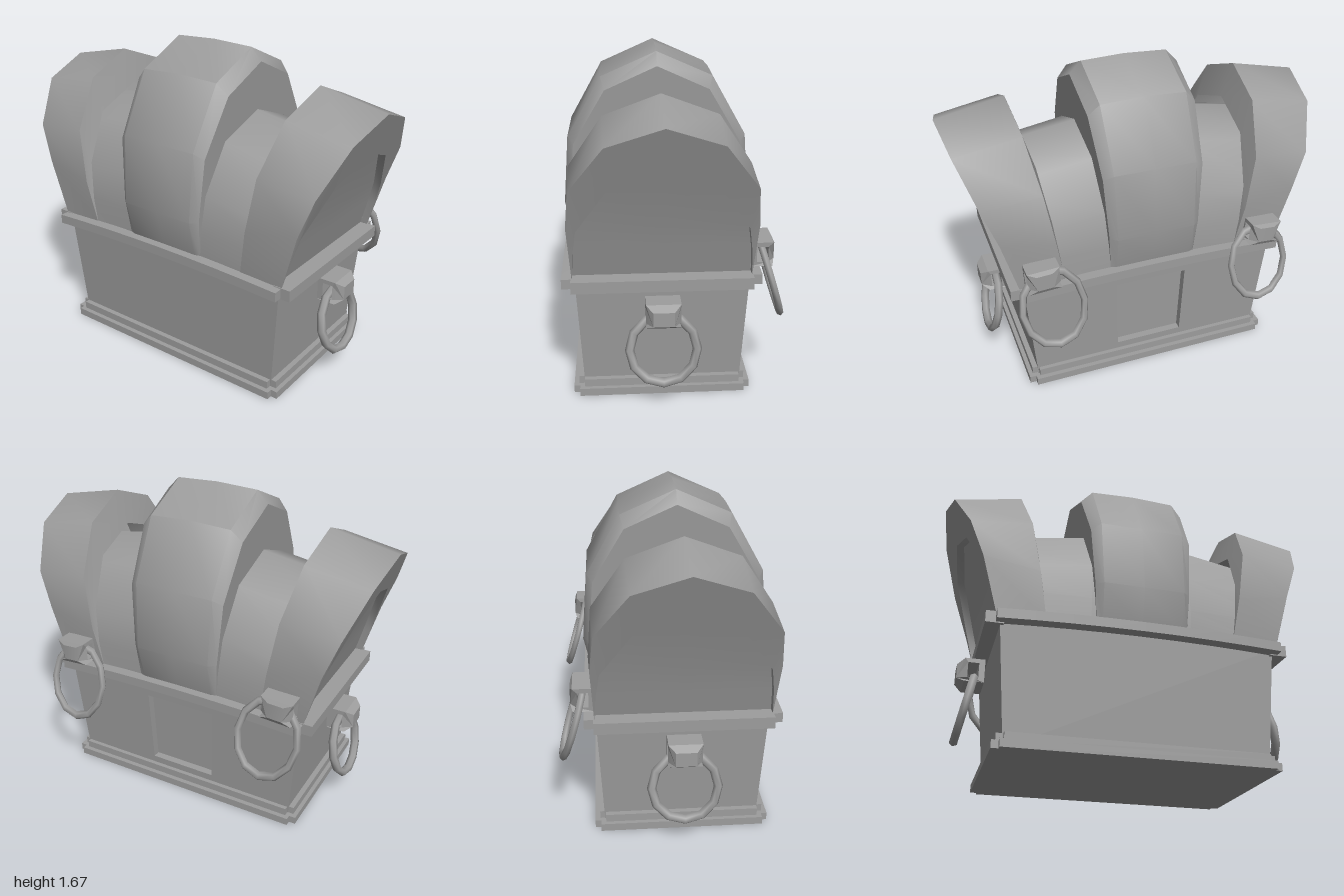
import * as THREE from 'three';
import { toCreasedNormals } from 'three/addons/utils/BufferGeometryUtils.js';

const mat = new THREE.MeshStandardMaterial({ color: 0x9d9d9d, side: THREE.DoubleSide });

function add(parent, name, geo, crease = 0.6) {
  const mesh = new THREE.Mesh(toCreasedNormals(geo, crease), mat);
  mesh.name = name;
  parent.add(mesh);
  return mesh;
}

function box(parent, name, w, h, d, x, y, z) {
  return add(parent, name, new THREE.BoxGeometry(w, h, d).translate(x, y, z));
}

const toPoints = list => list.map(p => new THREE.Vector2(...p));

// Skin mirrored half arches; each station is { arch: [[halfWidth, y], ...], z: y => z }
function loft(stations) {
  const pos = [], index = [];
  for (const { arch, z } of stations) {
    const left = arch.slice(1).map(([u, y]) => [-u, y]);
    const right = arch.slice().reverse();
    for (const [x, y] of [...right, ...left]) pos.push(x, y, z(y));
  }
  const n = stations[0].arch.length * 2 - 1;
  for (let i = 0; i < stations.length - 1; i++) {
    for (let j = 0; j < n - 1; j++) {
      const a = i * n + j, b = a + 1, d = a + n, c = d + 1;
      index.push(a, b, c, a, c, d);
    }
  }
  const geo = new THREE.BufferGeometry();
  geo.setAttribute('position', new THREE.Float32BufferAttribute(pos, 3));
  geo.setIndex(index);
  return geo;
}

// Half arches from crown to foot
const lidMid = [[0, 1.35], [0.27, 1.25], [0.41, 1.0], [0.435, 0.8], [0.43, 0.65]];
const lidEnd = [[0, 1.25], [0.25, 1.16], [0.405, 0.93], [0.425, 0.8], [0.435, 0.65]];
const lidAxis = lidEnd.map(([, y]) => [0, y]);
const midOuter = [[0, 1.665], [0.285, 1.54], [0.46, 1.23], [0.487, 0.87], [0.44, 0.67]];
const midEdge = [[0, 1.6], [0.265, 1.48], [0.43, 1.2], [0.455, 0.87], [0.43, 0.67]];
const endRidge = [[0, 1.535], [0.275, 1.43], [0.44, 1.18], [0.46, 0.9], [0.435, 0.66]];
const endFront = [[0, 1.46], [0.265, 1.37], [0.43, 1.15], [0.45, 0.95], [0.435, 0.66]];

// Slanted faces, z as a function of height
const endPlane = y => 0.735 + Math.max(0.28 * (y - 0.69), 0.372 * (y - 0.95) + 0.073);
const ridgePlane = y => 0.49 + (y - 0.69) * 0.172;

// Bracket with a swinging ring, facing +z; profile lists [reach, halfHeight]
function ringHandle(name, { profile, taper, r, y, z, tilt, shift = 0, stretch = 1, tube }) {
  const g = new THREE.Group();
  g.name = name;
  const lower = profile.map(([a, h]) => [a, -h]);
  const s = new THREE.Shape(toPoints([...lower, ...profile.slice().reverse()]));
  s.holes.push(new THREE.Path(toPoints([[0.03, -0.04], [0.03, 0.04], [0.085, 0.04], [0.085, -0.04]])));
  const geo = new THREE.ExtrudeGeometry(s, { depth: 0.17, bevelEnabled: false });
  geo.translate(0, 0, -0.085).rotateY(-Math.PI / 2);
  const p = geo.attributes.position;
  for (let i = 0; i < p.count; i++) if (p.getZ(i) > 0.112) p.setX(i, p.getX(i) * taper);
  add(g, 'bracket', geo, 0.3);
  const ring = add(g, 'ring', new THREE.TorusGeometry(r, tube, 6, 12), 1.2);
  ring.position.set(shift, y, z);
  ring.rotation.x = tilt;
  ring.scale.y = stretch;
  return g;
}

// Widen from foot to rim: shift vertices outward in proportion to height
function flare(geo) {
  const p = geo.attributes.position;
  for (let i = 0; i < p.count; i++) {
    const t = p.getY(i) / 0.64;
    p.setX(i, p.getX(i) * (1 + 0.085 * t));
    p.setZ(i, p.getZ(i) * (1 + 0.085 * t));
  }
  return geo;
}

export function createModel() {
  const model = new THREE.Group();
  const chest = new THREE.Group();
  chest.name = 'chest';
  chest.position.set(-0.065, 0, -0.004);
  model.add(chest);

  // Body: core plus a right-hand wall holding the recessed panel
  add(chest, 'body', flare(new THREE.BoxGeometry(0.745, 0.63, 1.3).translate(-0.0175, 0.325, 0)));
  const wall = new THREE.Shape(toPoints([[-0.65, 0.01], [0.65, 0.01], [0.65, 0.64], [-0.65, 0.64]]));
  wall.holes.push(new THREE.Path(toPoints([[-0.185, 0.12], [-0.185, 0.54], [0.185, 0.54], [0.185, 0.12]])));
  const wallGeo = new THREE.ExtrudeGeometry(wall, { depth: 0.04, bevelEnabled: false });
  add(chest, 'panelWall', flare(wallGeo.rotateY(Math.PI / 2).translate(0.355, 0, 0)));

  // Stepped plinth with notched corners
  [[0.447, 0.707, 0, 0.04], [0.422, 0.685, 0.04, 0.08]].forEach(([x, z, y0, y1]) => {
    const h = y1 - y0, y = (y0 + y1) / 2;
    box(chest, 'plinth', 2 * x, h, 2 * z - 0.07, 0, y, 0);
    for (const s of [1, -1]) box(chest, 'plinthEnd', 2 * x - 0.06, h, 0.06, 0, y, s * (z - 0.03));
  });

  // Rim: end bars and gently bowed side bars
  for (const s of [1, -1]) {
    box(chest, 'rimEnd', 0.88, 0.06, 0.09, 0, 0.632, s * 0.73);
    const bar = new THREE.BoxGeometry(0.08, 0.05, 1.45, 1, 1, 8);
    const p = bar.attributes.position;
    for (let i = 0; i < p.count; i++) {
      p.setY(i, p.getY(i) + 0.632 + 0.02 * (1 - (p.getZ(i) / 0.725) ** 2));
    }
    add(chest, 'rimSide', bar.translate(s * 0.447, 0, 0));
  }

  // Lid between the bands, closed by slanted end panels
  const panelPlane = y => endPlane(y) - 0.04;
  add(chest, 'lid', loft([
    { arch: lidAxis, z: y => -panelPlane(y) },
    { arch: lidEnd, z: y => -panelPlane(y) },
    { arch: lidMid, z: () => -0.26 },
    { arch: lidMid, z: () => 0.26 },
    { arch: lidEnd, z: panelPlane },
    { arch: lidAxis, z: panelPlane },
  ]), 0.76);

  // Centre band with bevelled edges
  const edge = y => 0.235 + (y - 0.68) * 0.065;
  const shoulder = y => 0.205 + (y - 0.68) * 0.028;
  const crown = midOuter.map(([u, y]) => [u, y + (y > 1.5 ? 0.01 : 0)]);
  add(chest, 'centreBand', loft([
    { arch: lidMid, z: y => -edge(y) },
    { arch: midEdge, z: y => -edge(y) },
    { arch: midOuter, z: y => -shoulder(y) },
    { arch: crown, z: () => 0 },
    { arch: midOuter, z: shoulder },
    { arch: midEdge, z: edge },
    { arch: lidMid, z: edge },
  ]), 0.72);

  // Leaning end bands and ring handles, front and back
  for (const s of [1, -1]) {
    const end = new THREE.Group();
    end.name = s > 0 ? 'frontEnd' : 'backEnd';
    end.rotation.y = s > 0 ? 0 : Math.PI;
    chest.add(end);
    add(end, 'endBand', loft([
      { arch: lidMid, z: y => 0.49 + (y - 0.69) * 0.13 },
      { arch: endRidge, z: ridgePlane },
      { arch: endFront, z: endPlane },
      { arch: lidEnd, z: endPlane },
      { arch: lidEnd, z: y => endPlane(y) - 0.06 },
    ]), 0.76);
    const handle = ringHandle('endHandle', {
      profile: [[0, 0.062], [0.1, 0.062], [0.137, 0.037]], taper: 0.6,
      r: 0.165, y: -0.185, z: 0.082, tilt: -0.21, stretch: 1.03, tube: 0.023,
    });
    handle.position.set(0, 0.497, 0.725);
    end.add(handle);

    // Handles on the right side wall, slightly askew
    const side = ringHandle('sideHandle', {
      profile: [[0, 0.063], [0.108, 0.063], [0.12, 0.042]], taper: 0.48,
      r: 0.163, y: -0.168, z: 0.115, tilt: -0.29, shift: s * 0.027, stretch: 1.25, tube: 0.019,
    });
    side.position.set(0.43, 0.757, s * 0.617);
    side.rotation.set(0, Math.PI / 2, s * 0.06);
    chest.add(side);
  }
  return model;
}
